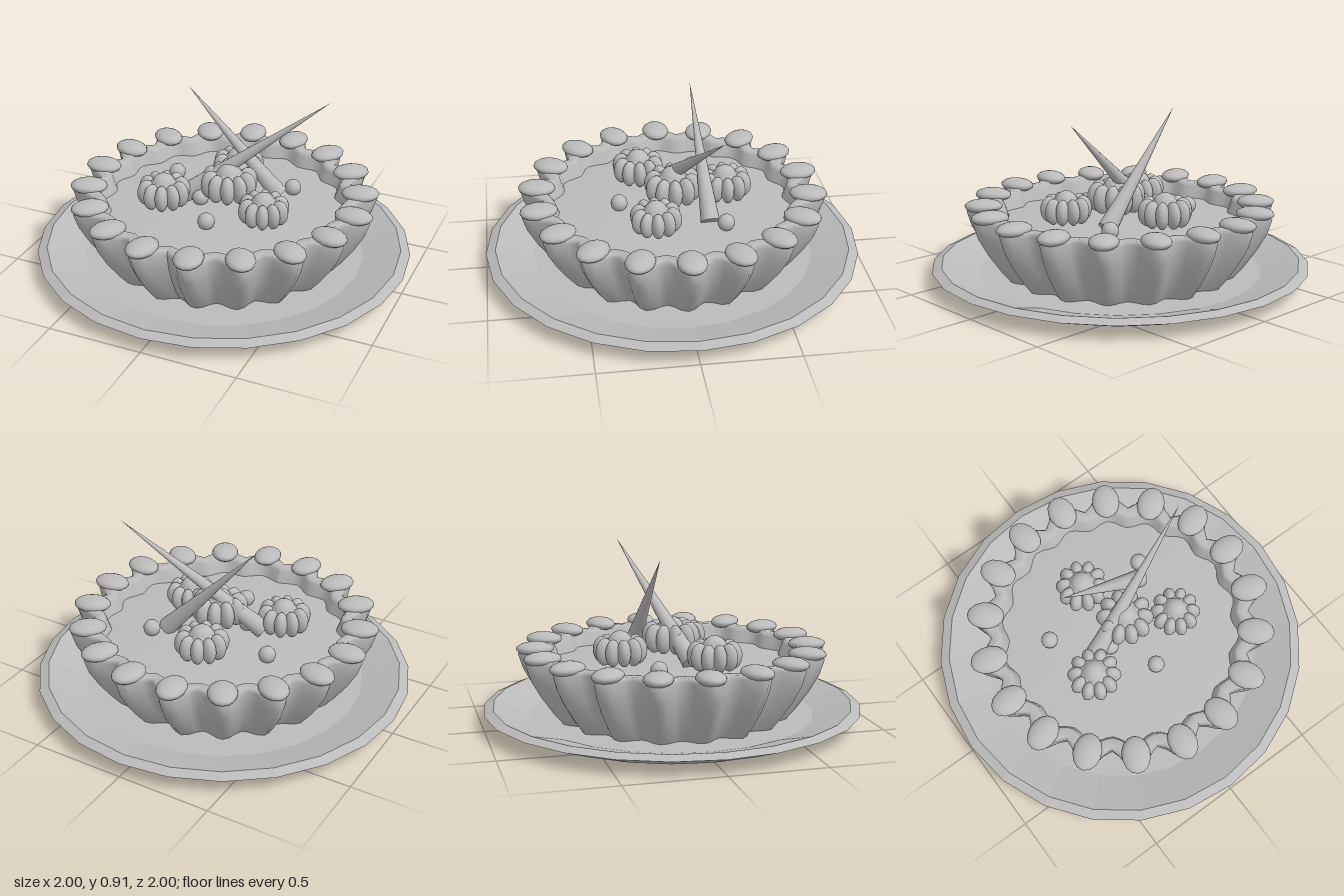
import * as THREE from 'three';

export function createModel() {
  const root = new THREE.Group();
  root.name = 'fruitTart';
  const grey = new THREE.MeshStandardMaterial({ color: 0xbbbbbb });
  grey.name = 'plainGrey';

  const add = (parent, name, geometry, x = 0, y = 0, z = 0) => {
    const mesh = new THREE.Mesh(geometry, grey);
    mesh.name = name;
    mesh.position.set(x, y, z);
    parent.add(mesh);
    return mesh;
  };
  const lathe = (pts, sides) =>
    new THREE.LatheGeometry(pts.map(([r, y]) => new THREE.Vector2(r, y)), sides);

  // Faceted plate with a sloping rim
  const plate = lathe(
    [[0, 0], [0.79, 0], [1, 0.08], [0.95, 0.1], [0.75, 0.04], [0, 0.04]], 24).toNonIndexed();
  plate.computeVertexNormals();
  add(root, 'plate', plate);

  // Pastry wall: each ring of the profile is fluted by its own depth
  const FLUTES = 18;
  const flute = (geometry, depths) => {
    const p = geometry.attributes.position;
    for (let i = 0; i < p.count; i++) {
      const x = p.getX(i), z = p.getZ(i), r = Math.hypot(x, z);
      if (r < 1e-6) continue;
      const depth = depths[i % depths.length];
      const s = 1 + depth * Math.cos(FLUTES * Math.atan2(z, x)) / r;
      p.setX(i, x * s);
      p.setZ(i, z * s);
    }
    geometry.computeVertexNormals();
    return geometry;
  };
  const wall = [[0.58, 0.035], [0.63, 0.1], [0.69, 0.2], [0.73, 0.29], [0.75, 0.37],
    [0.73, 0.39], [0.66, 0.39], [0.64, 0.37], [0.61, 0.28]];
  add(root, 'crust', flute(lathe(wall, FLUTES * 6),
    [0.03, 0.035, 0.045, 0.055, 0.06, 0.055, 0.025, 0.02, 0.02]));

  // Slightly domed filling
  add(root, 'filling', flute(lathe([[0.63, 0.305], [0.45, 0.32], [0.2, 0.325], [0, 0.325]],
    FLUTES * 4), [0.02, 0, 0, 0]));

  // Flattened beads on every flute of the crust
  const bead = new THREE.SphereGeometry(1, 14, 10);
  for (let i = 0; i < FLUTES; i++) {
    const a = (i / FLUTES) * Math.PI * 2;
    const m = add(root, 'crustBead', bead, 0.72 * Math.cos(a), 0.395, 0.72 * Math.sin(a));
    m.scale.set(0.1, 0.036, 0.075);
    m.rotation.y = -a;
  }

  // Cream rosettes: a ring of upright lobes around a round centre
  const ball = new THREE.SphereGeometry(1, 14, 10);
  const rosette = (x, z, size, top) => {
    const g = new THREE.Group();
    g.name = 'creamRosette';
    g.position.set(x, top, z);
    g.scale.setScalar(size);
    const lobes = 10;
    for (let i = 0; i < lobes; i++) {
      const a = (i / lobes) * Math.PI * 2;
      const m = add(g, 'rosetteLobe', ball, 0.092 * Math.cos(a), -0.1, 0.092 * Math.sin(a));
      m.scale.set(0.05, 0.072, 0.036);
      m.rotation.y = -a;
    }
    add(g, 'rosetteCore', ball, 0, -0.09, 0).scale.set(0.09, 0.07, 0.09);
    add(g, 'rosetteTop', ball, 0, -0.065, 0).scale.setScalar(0.066);
    root.add(g);
  };
  rosette(-0.28, 0.15, 1, 0.5);
  rosette(0.275, 0.12, 0.95, 0.49);
  rosette(0.03, 0, 1.08, 0.55);
  rosette(-0.04, -0.29, 1, 0.5);

  // Small berries
  for (const [x, z] of [[-0.35, -0.16], [0.3, -0.24], [0.025, 0.285], [-0.11, 0.06]]) {
    add(root, 'berry', ball, x, 0.355, z).scale.setScalar(0.045);
  }

  // Two crossed pointed sticks
  const stick = (from, to, radius) => {
    const a = new THREE.Vector3(...from), b = new THREE.Vector3(...to);
    const dir = b.clone().sub(a);
    const m = add(root, 'pointedStick', new THREE.ConeGeometry(radius, dir.length(), 14));
    m.position.copy(a).add(b).multiplyScalar(0.5);
    m.quaternion.setFromUnitVectors(new THREE.Vector3(0, 1, 0), dir.normalize());
  };
  stick([-0.21, 0.35, 0.05], [0.51, 0.91, -0.185], 0.052);
  stick([0.25, 0.34, -0.165], [-0.26, 0.895, -0.13], 0.05);

  return root;
}
